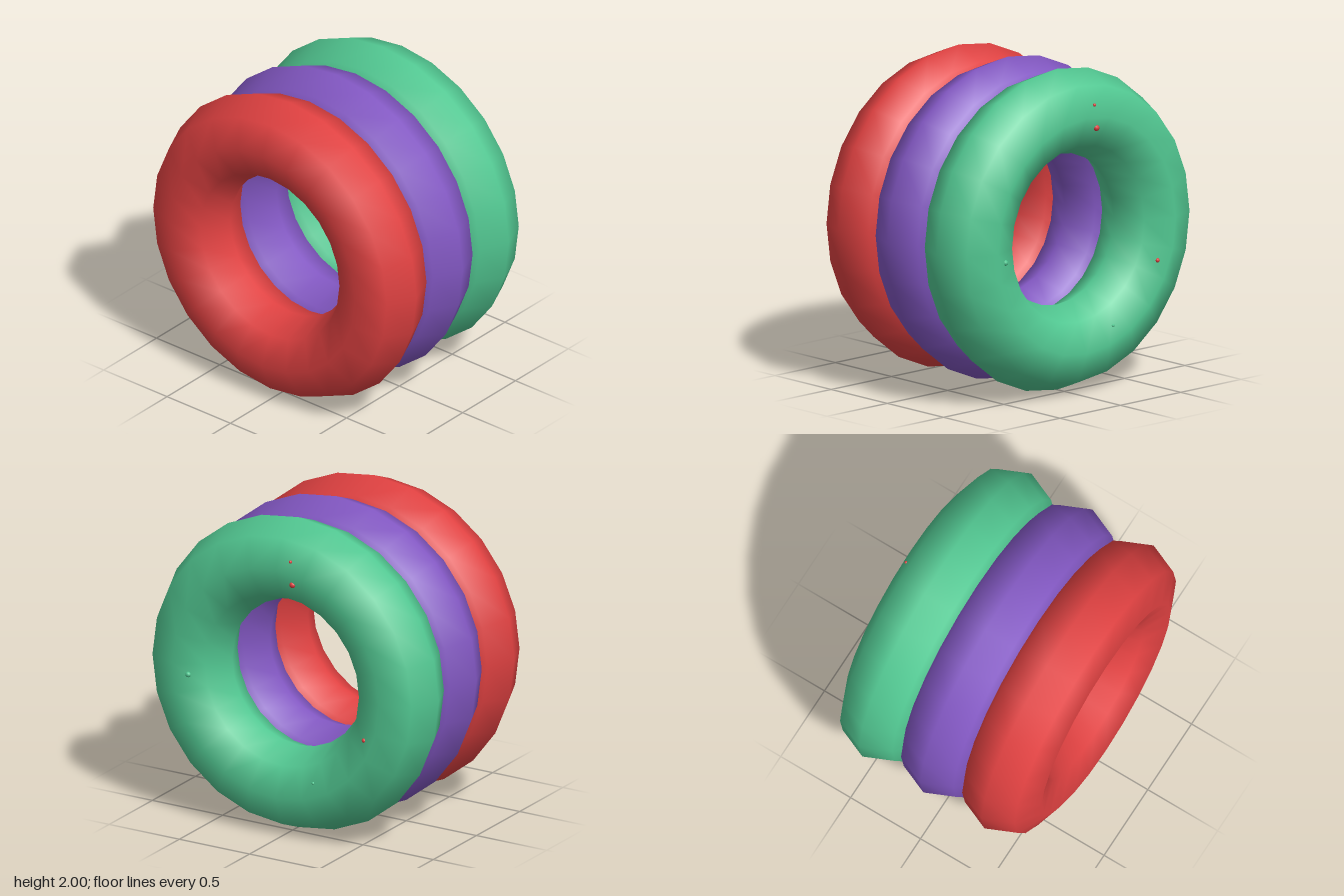
import * as THREE from 'three';

const mat = (name, color) => {
  const m = new THREE.MeshStandardMaterial({ color });
  m.name = name;
  return m;
};

export function createModel() {
  const model = new THREE.Group();
  model.name = 'stackedRings';
  const red = mat('red', 0xe04141);
  const purple = mat('purple', 0x8257c2);
  const green = mat('green', 0x52c892);

  // Three overlapping rings in a row along z
  const R = 0.735, r = 0.265, spacing = 0.437;
  const ringGeometry = new THREE.TorusGeometry(R, r, 8, 24);
  [['frontRing', red, 1], ['middleRing', purple, 0], ['backRing', green, -1]].forEach(([name, material, i]) => {
    const ring = new THREE.Mesh(ringGeometry, material);
    ring.name = name;
    ring.position.set(0, 1, i * spacing);
    model.add(ring);
  });

  // Tiny specks sitting on the back face of the rear ring: x, y, radius, material
  const speckGeometry = new THREE.SphereGeometry(1, 8, 6);
  [
    [-0.09, 1.80, 0.01, red],
    [-0.105, 1.656, 0.02, red],
    [-0.613, 0.748, 0.014, red],
    [0.643, 0.933, 0.018, green],
    [-0.248, 0.4, 0.01, green],
  ].forEach(([x, y, size, material], i) => {
    const off = Math.hypot(x, y - 1) - R;
    const speck = new THREE.Mesh(speckGeometry, material);
    speck.name = `speck${i + 1}`;
    speck.scale.setScalar(size);
    speck.position.set(x, y, -spacing - r + Math.abs(off) * 0.41);
    model.add(speck);
  });
  return model;
}
